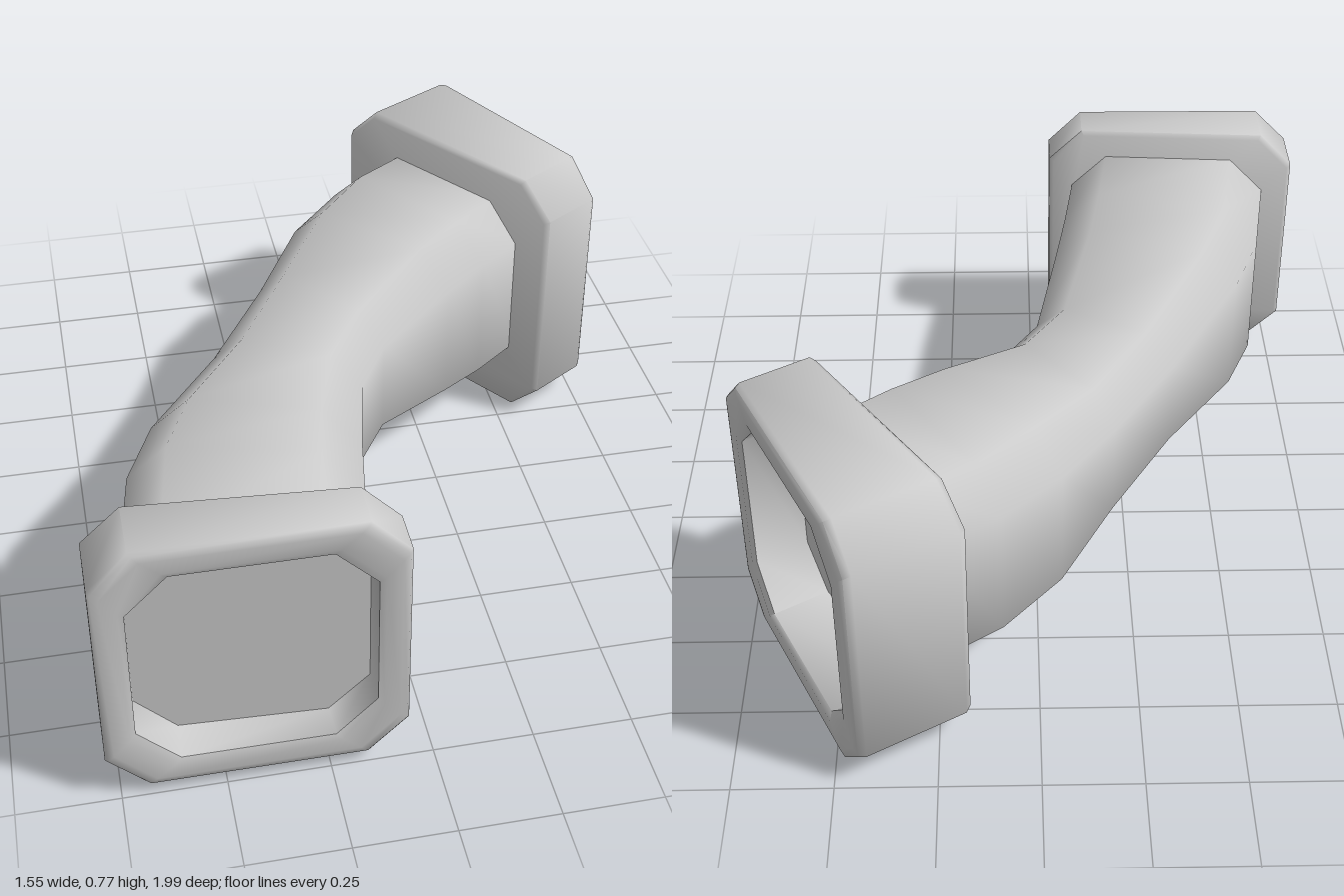
import * as THREE from 'three';
import { toCreasedNormals } from 'three/addons/utils/BufferGeometryUtils.js';

const CY = 0.39; // height of the pipe's centre line

// Chamfered-square ring standing on the plan segment from l to r ([x, z] each)
function ring(l, r, halfHeight, chamfer, inset = 0) {
  const dx = r[0] - l[0], dz = r[1] - l[1], len = Math.hypot(dx, dz);
  const w = len / 2 - inset, h = halfHeight - inset, c = chamfer;
  const outline = [
    [w, -h + c], [w, h - c], [w - c, h], [-w + c, h],
    [-w, h - c], [-w, -h + c], [-w + c, -h], [w - c, -h],
  ];
  return outline.map(([u, v]) => {
    const t = 0.5 + u / len;
    return new THREE.Vector3(l[0] + dx * t, CY + v, l[1] + dz * t);
  });
}

// Skin a list of rings, closing both ends
function loft(rings, crease) {
  const pos = [];
  const tri = (a, b, c) => pos.push(...a.toArray(), ...b.toArray(), ...c.toArray());
  const n = rings[0].length;
  for (let k = 0; k < rings.length - 1; k++) {
    const a = rings[k], b = rings[k + 1];
    for (let i = 0; i < n; i++) {
      const j = (i + 1) % n;
      tri(a[i], b[i], a[j]);
      tri(a[j], b[i], b[j]);
    }
  }
  const first = rings[0], last = rings[rings.length - 1];
  for (let i = 1; i < n - 1; i++) {
    tri(first[0], first[i], first[i + 1]);
    tri(last[0], last[i + 1], last[i]);
  }
  const g = new THREE.BufferGeometry();
  g.setAttribute('position', new THREE.Float32BufferAttribute(pos, 3));
  return toCreasedNormals(g, crease);
}

const mix = (a, b, t) => [a[0] + (b[0] - a[0]) * t, a[1] + (b[1] - a[1]) * t];

// Collar rings from the pipe side (t = 0) over the rim (t = 1) into the recess
function collarRings(inner, outer, halfHeight, rim, floor) {
  const profile = [
    [0, 0.012, 0.09], [0.06, 0, 0.095], [0.92, 0, 0.095], [0.98, 0.006, 0.095],
    [1, 0.022, 0.095], [1, rim - 0.015, 0.1], [0.96, rim, 0.1], [floor, rim + 0.004, 0.1],
  ];
  return profile.map(([t, inset, c]) =>
    ring(mix(inner[0], outer[0], t), mix(inner[1], outer[1], t), halfHeight, c, inset));
}

export function createModel() {
  const group = new THREE.Group();
  const material = new THREE.MeshStandardMaterial({ color: 0xcccccc });
  const add = (name, geometry) => {
    const mesh = new THREE.Mesh(geometry, material);
    mesh.name = name;
    group.add(mesh);
  };

  // Bent pipe, pinched at the middle: left point, right point, half height, chamfer
  const sections = [
    [[-0.70, 0.83], [-0.13, 0.88], 0.28, 0.10],
    [[-0.65, 0.52], [-0.10, 0.66], 0.28, 0.10],
    [[-0.57, 0.32], [-0.07, 0.49], 0.266, 0.10],
    [[-0.37, 0.00], [-0.01, 0.20], 0.207, 0.085],
    [[-0.20, -0.28], [0.08, 0.05], 0.215, 0.085],
    [[-0.06, -0.51], [0.30, -0.12], 0.268, 0.10],
    [[0.09, -0.67], [0.42, -0.21], 0.28, 0.10],
    [[0.25, -0.78], [0.56, -0.32], 0.28, 0.10],
  ];
  add('pipe', loft(sections.map((s) => ring(...s)), 1.0));

  // Front collar, wedge shaped in plan, with a shallow recess
  add('frontCollar', loft(collarRings(
    [[-0.78, 0.815], [-0.06, 0.87]], [[-0.78, 1], [-0.06, 1]], 0.36, 0.076, 0.4).reverse(), 1.0));

  // Larger rear collar, turned to follow the bend
  add('rearCollar', loft(collarRings(
    [[0.165, -0.84], [0.60, -0.215]], [[0.44, -1.0], [0.775, -0.325]], 0.386, 0.085, 0.3), 1.0));

  return group;
}
